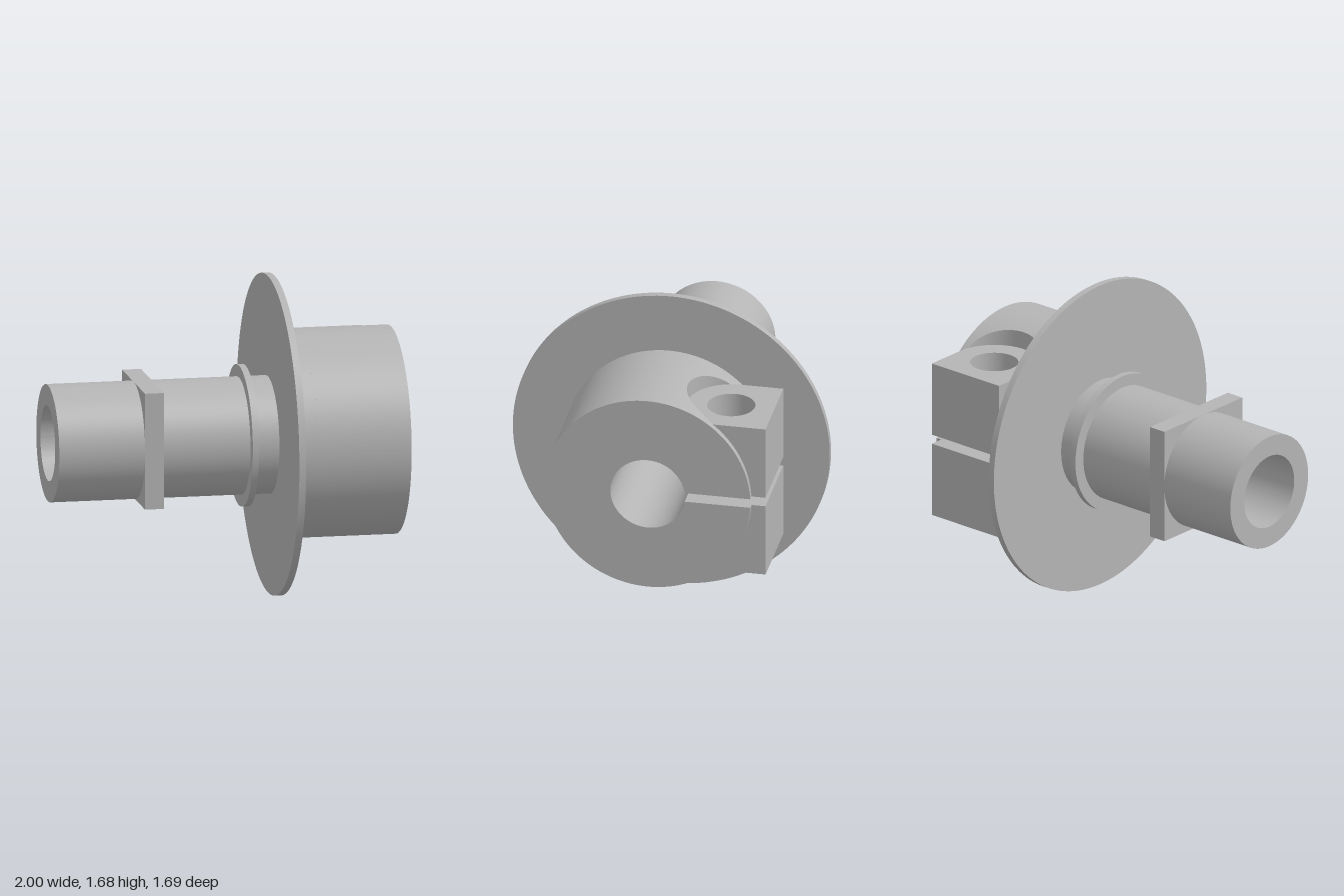
import * as THREE from 'three';
import { toCreasedNormals } from 'three/addons/utils/BufferGeometryUtils.js';

const BORE = 0.197, TUBE = 0.307, CLAMP = 0.543;   // radii
const LUG_H = 0.425, SLIT = 0.025;                 // half heights
const Z0 = 0.223, Z1 = 0.301, Z2 = 0.763, Z3 = 0.796; // clamp stations along the axis
const ZM = (Z1 + Z2) / 2, POCKET = (Z2 - Z1) / 2, BOLT_X = 0.389, LUG_IN = 0.22, LUG_OUT = 0.617;

export function createModel() {
  const steel = new THREE.MeshStandardMaterial({ color: 0xb4b4b4 });
  steel.name = 'grey steel';

  // Local frame: z runs along the tube axis, x points towards the clamp lugs
  const model = new THREE.Group();
  model.name = 'clampHub';
  const body = new THREE.Group();
  body.name = 'body';
  body.rotation.y = (2 * Math.PI) / 3;
  body.position.set(0.038, 0.838, 0.065);
  model.add(body);

  const add = (name, geometry, parent = body) => {
    const mesh = new THREE.Mesh(toCreasedNormals(geometry, 0.5), steel);
    mesh.name = name;
    parent.add(mesh);
  };
  const extrude = (shape, a, b) =>
    new THREE.ExtrudeGeometry(shape, { depth: b - a, bevelEnabled: false, curveSegments: 72 }).translate(0, 0, a);
  const circle = (r, x = 0, y = 0) => new THREE.Shape().absarc(x, y, r, 0, Math.PI * 2, false);
  const rect = (x0, y0, x1, y1) => new THREE.Shape(
    [[x0, y0], [x1, y0], [x1, y1], [x0, y1]].map(p => new THREE.Vector2(...p)));
  const withHole = (shape, hole) => { shape.holes.push(hole); return shape; };

  // Tube with flanges; inner edges of the flanges are buried in the tube wall
  add('tube', extrude(withHole(circle(TUBE), circle(BORE)), -1.019, Z0));
  add('squarePlate', extrude(withHole(rect(-TUBE, -TUBE, TUBE, TUBE), circle(0.25)), -0.566, -0.466));
  add('smallFlange', extrude(withHole(circle(0.37), circle(0.25)), -0.009, 0.025));
  add('largeFlange', extrude(withHole(circle(0.838), circle(0.25)), 0.144, 0.18));

  // Split clamp collar
  const clamp = new THREE.Group();
  clamp.name = 'clamp';
  body.add(clamp);
  const slitOut = Math.asin(SLIT / CLAMP), slitIn = Math.asin(SLIT / BORE);
  const flat = Math.asin(LUG_H / CLAMP), flatX = CLAMP * Math.cos(flat);

  // End slices: full round with the slit
  for (const [name, a, b] of [['clampInnerRim', Z0, Z1], ['clampOuterRim', Z2, Z3]]) {
    const rim = new THREE.Shape();
    rim.absarc(0, 0, CLAMP, slitOut, Math.PI * 2 - slitOut, false);
    rim.absarc(0, 0, BORE, Math.PI * 2 - slitIn, slitIn, true);
    rim.closePath();
    add(name, extrude(rim, a, b), clamp);
  }

  // Middle slice between the lug planes
  const core = new THREE.Shape();
  core.moveTo(LUG_IN, LUG_H);
  core.lineTo(-flatX, LUG_H);
  core.absarc(0, 0, CLAMP, Math.PI - flat, Math.PI + flat, false);
  core.lineTo(LUG_IN, -LUG_H);
  core.lineTo(LUG_IN, -SLIT);
  core.absarc(0, 0, BORE, Math.PI * 2 - slitIn, slitIn, true);
  core.lineTo(LUG_IN, SLIT);
  core.closePath();
  add('clampCore', extrude(core, Z1, Z2), clamp);

  // Lower round segment
  const segment = new THREE.Shape();
  segment.absarc(0, 0, CLAMP, Math.PI + flat, Math.PI * 2 - flat, false);
  segment.closePath();
  add('clampUnderside', extrude(segment, Z1, Z2), clamp);

  // Upper round segment, cut back by the round-ended bolt pocket
  const rows = 64, cols = 32, pos = [], index = [];
  for (let i = 0; i <= rows; i++) {
    const phi = (i / rows) * Math.PI;
    const z = ZM - POCKET * Math.cos(phi);
    const wall = Math.min(flatX, BOLT_X - POCKET * Math.sin(phi));
    const end = Math.acos(wall / CLAMP);
    for (let k = 0; k <= cols; k++) {
      const t = THREE.MathUtils.lerp(Math.PI - flat, end, k / cols);
      pos.push(CLAMP * Math.cos(t), CLAMP * Math.sin(t), z);
    }
    pos.push(wall, LUG_H, z);
  }
  const w = cols + 2;
  for (let i = 0; i < rows; i++) for (let k = 0; k < w - 1; k++) {
    const a = i * w + k, d = a + w;
    index.push(a, d, d + 1, a, d + 1, a + 1);
  }
  const top = new THREE.BufferGeometry();
  top.setAttribute('position', new THREE.Float32BufferAttribute(pos, 3));
  top.setIndex(index);
  add('clampTop', top, clamp);

  // Two lugs with the bolt hole
  for (const [name, a, b] of [['upperLug', SLIT, LUG_H], ['lowerLug', -LUG_H, -SLIT]]) {
    const lug = withHole(rect(LUG_IN, -Z2, LUG_OUT, -Z1), circle(0.125, BOLT_X, -ZM));
    add(name, extrude(lug, a, b).rotateX(-Math.PI / 2), clamp);
  }
  return model;
}
